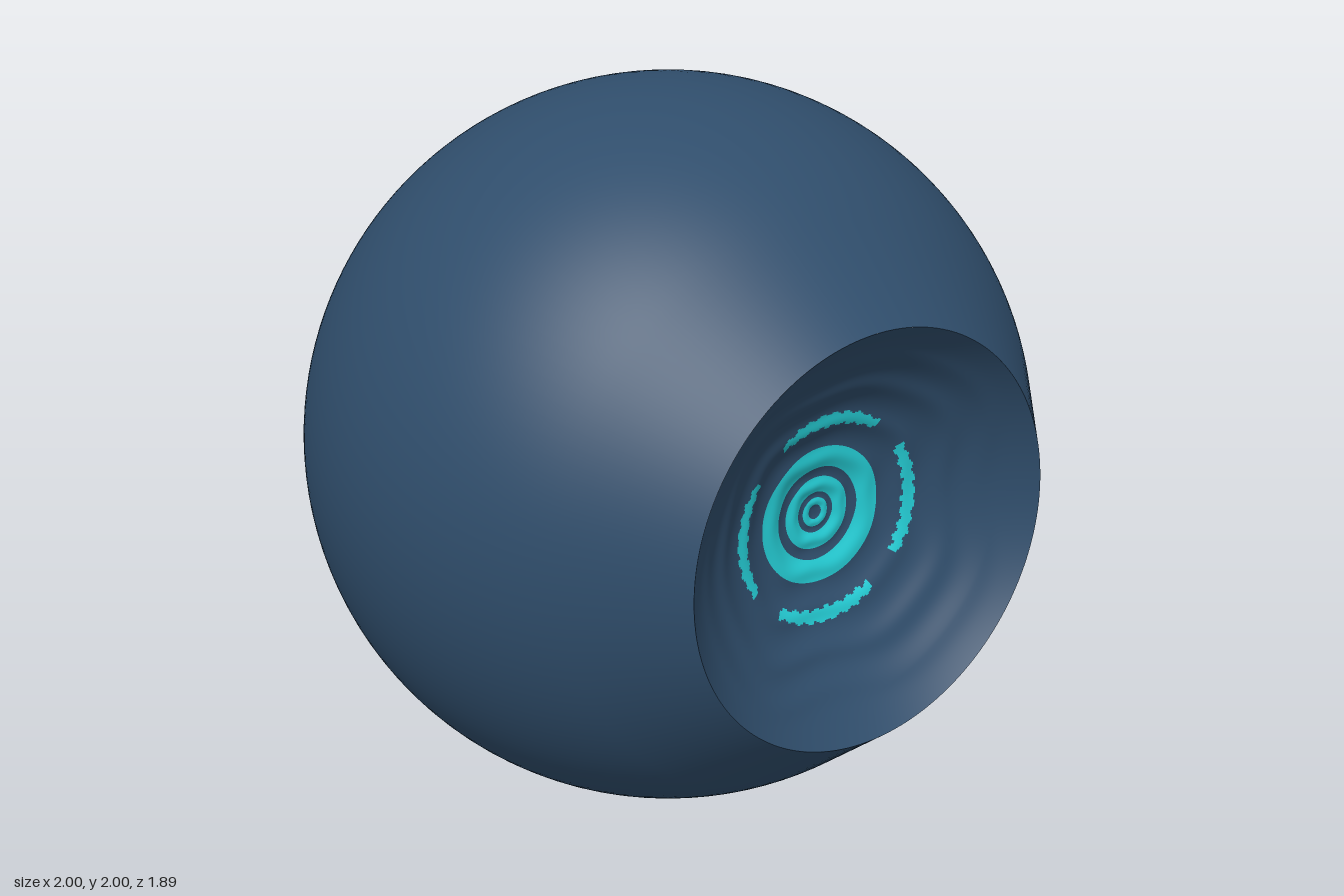
import * as THREE from 'three';

const CENTER_Z = 0.055; // sphere centre, so that back and rim are equally far from z = 0
const RIM_R = 0.555, RIM_Z = 0.89, DISH_FLOOR = 0.645;

// Crests of the ripples: [radius, half width, height]
const CRESTS = [
  [0.03, 0.012, 0.005], [0.078, 0.02, 0.008], [0.158, 0.03, 0.009],
  [0.265, 0.03, 0.008], [0.37, 0.03, 0.007], [0.46, 0.03, 0.004],
];

// Spherical bowl with slightly wobbly concentric ripples
function dishHeight(r, a) {
  const depth = RIM_Z - DISH_FLOOR;
  const R = (RIM_R * RIM_R + depth * depth) / (2 * depth);
  let z = DISH_FLOOR + R - Math.sqrt(R * R - r * r);
  const wobble = 0.05 * r * Math.cos(4 * a) + 0.02 * r * Math.sin(7 * a + 1);
  for (const [c, w, h] of CRESTS) {
    z += h * Math.exp(-(((r + wobble - c) / w) ** 2)) * Math.min(1, (RIM_R - r) / 0.08);
  }
  return z;
}

// Three full glowing rings, then four broken arcs
function isGlowing(r, a) {
  if (r > 0.018 && r < 0.04) return true;
  if (r > 0.055 && r < 0.098) return true;
  if (r > 0.127 && r < 0.188) return true;
  const off = Math.abs(a - Math.round(a / (Math.PI / 2)) * (Math.PI / 2));
  const jag = 0.004 * Math.sin(a * 46);
  return off < 0.6 && r > 0.25 + 0.012 * off + jag && r < 0.288 - 0.012 * off + jag;
}

export function createModel() {
  const navy = new THREE.MeshStandardMaterial({ color: 0x2f4d6b });
  navy.name = 'navy';
  const cyan = new THREE.MeshStandardMaterial({ color: 0x25d0d8 });
  cyan.name = 'cyan';

  const model = new THREE.Group();
  model.name = 'dishedSphere';

  // Sphere whose surface runs on along its tangent to the raised rim
  const profile = [];
  const steps = 90, tangentAngle = THREE.MathUtils.degToRad(49.5);
  for (let i = 0; i <= steps; i++) {
    const t = Math.PI + (tangentAngle - Math.PI) * i / steps;
    profile.push(new THREE.Vector2(Math.max(0, Math.sin(t)), Math.cos(t)));
  }
  const end = profile[steps], rim = new THREE.Vector2(RIM_R, RIM_Z);
  for (let i = 1; i <= 8; i++) profile.push(end.clone().lerp(rim, i / 8));
  const shell = new THREE.Mesh(new THREE.LatheGeometry(profile, 128).rotateX(Math.PI / 2), navy);
  shell.name = 'shell';

  // Rippled dish, with glowing rings as a second material group
  const geo = new THREE.RingGeometry(0, RIM_R, 192, 140);
  const pos = geo.attributes.position;
  for (let i = 0; i < pos.count; i++) {
    const x = pos.getX(i), y = pos.getY(i);
    pos.setZ(i, dishHeight(Math.min(Math.hypot(x, y), RIM_R), Math.atan2(y, x)));
  }
  geo.computeVertexNormals();

  const plain = [], glow = [], index = geo.index.array;
  for (let i = 0; i < index.length; i += 6) {
    const quad = Array.from(index.slice(i, i + 6));
    let x = 0, y = 0;
    for (const v of quad) {
      x += pos.getX(v) / 6;
      y += pos.getY(v) / 6;
    }
    (isGlowing(Math.hypot(x, y), Math.atan2(y, x)) ? glow : plain).push(...quad);
  }
  geo.setIndex([...plain, ...glow]);
  geo.clearGroups();
  geo.addGroup(0, plain.length, 0);
  geo.addGroup(plain.length, glow.length, 1);
  const dish = new THREE.Mesh(geo, [navy, cyan]);
  dish.name = 'rippledDish';

  model.add(shell, dish);
  for (const part of model.children) part.position.set(0, 1, CENTER_Z);
  return model;
}
